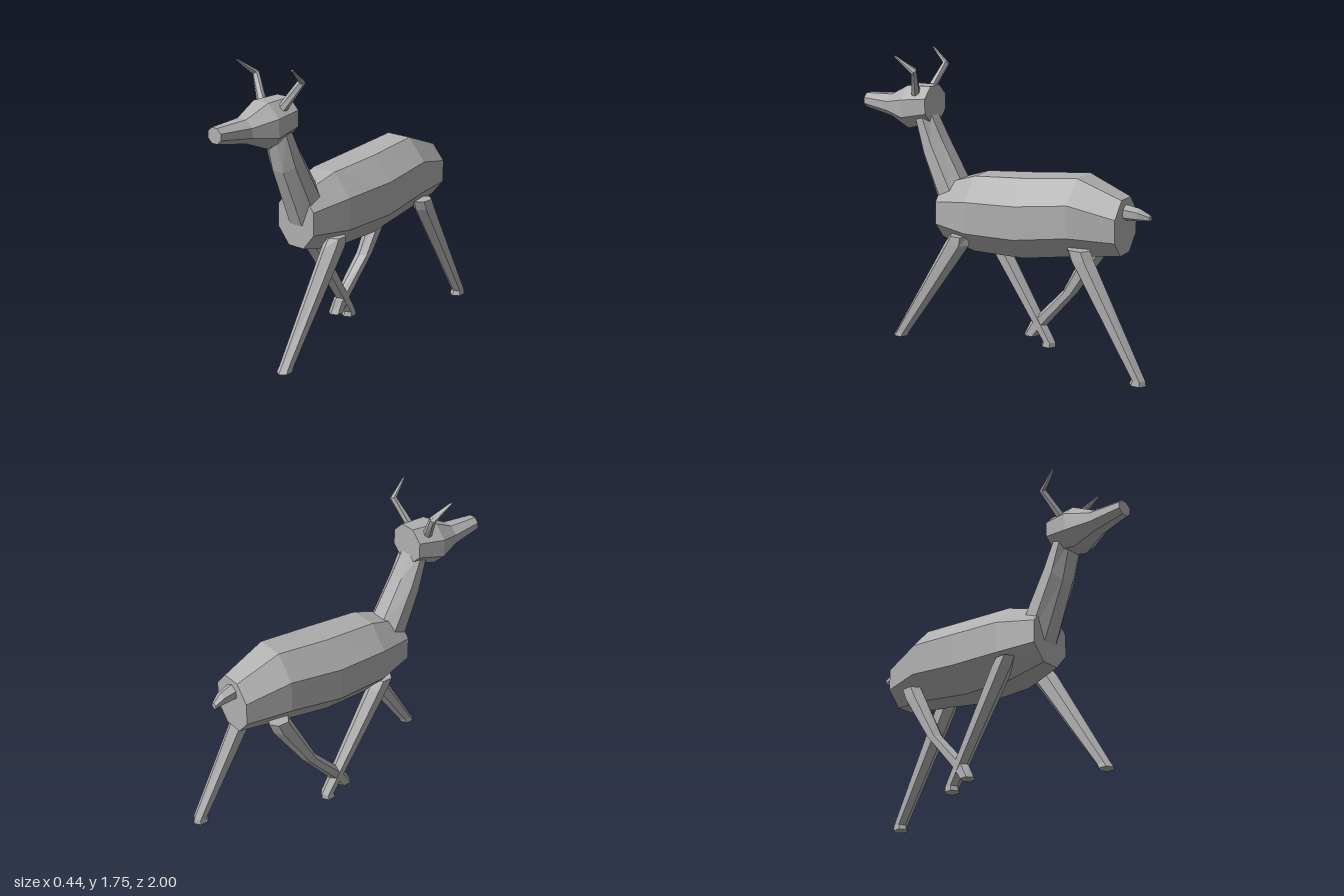
import * as THREE from 'three';

const V = (x, y, z) => new THREE.Vector3(x, y, z);

// Ring of n corners with flat sides facing +-u; u and v are the half extents
function ring(c, u, v, n) {
  const angles = Array.from({ length: n }, (_, i) => ((i + 0.5) / n) * Math.PI * 2);
  const mu = Math.max(...angles.map(Math.cos));
  const mv = Math.max(...angles.map(Math.sin));
  return angles.map((a) => c.clone()
    .addScaledVector(u, Math.cos(a) / mu)
    .addScaledVector(v, Math.sin(a) / mv));
}

// Closed skin over a row of rings, advancing along u x v
function loft(rings) {
  const pos = [];
  const tri = (...pts) => pts.forEach((p) => pos.push(p.x, p.y, p.z));
  const n = rings[0].length;
  for (let i = 0; i < rings.length - 1; i++) {
    const a = rings[i], b = rings[i + 1];
    for (let j = 0; j < n; j++) {
      const k = (j + 1) % n;
      tri(a[j], a[k], b[k]);
      tri(a[j], b[k], b[j]);
    }
  }
  const first = rings[0], last = rings[rings.length - 1];
  for (let j = 1; j < n - 1; j++) {
    tri(first[0], first[j + 1], first[j]);
    tri(last[0], last[j], last[j + 1]);
  }
  const g = new THREE.BufferGeometry();
  g.setAttribute('position', new THREE.Float32BufferAttribute(pos, 3));
  g.computeVertexNormals();
  return g;
}

export function createModel() {
  const model = new THREE.Group();
  const grey = new THREE.MeshStandardMaterial({ color: 0xb0b0b0 });
  grey.name = 'grey';
  grey.flatShading = true;

  const add = (name, rings) => {
    const mesh = new THREE.Mesh(loft(rings), grey);
    mesh.name = name;
    model.add(mesh);
  };

  // Upright sections along z: [z, centre x, half width, bottom y, top y]
  const alongZ = (rows, n, dir = 1) => rows.map(([z, x, w, y0, y1]) =>
    ring(V(x, (y0 + y1) / 2, z), V(w * dir, 0, 0), V(0, (y1 - y0) / 2, 0), n));

  add('body', alongZ([
    [-0.78, 0, 0.14, 0.705, 1.03],
    [-0.51, 0, 0.2, 0.67, 1.13],
    [-0.17, 0, 0.22, 0.61, 1.09],
    [0.17, 0, 0.2, 0.6, 1.06],
    [0.41, 0, 0.138, 0.65, 0.98],
  ], 8));

  // Head, turned slightly to its right
  add('head', alongZ([
    [0.495, -0.003, 0.113, 1.335, 1.557],
    [0.66, -0.013, 0.135, 1.29, 1.55],
    [0.8, -0.02, 0.08, 1.345, 1.48],
    [1.0, -0.025, 0.05, 1.38, 1.468],
  ], 8));

  add('tail', alongZ([
    [-0.76, 0, 0.045, 0.903, 1.0],
    [-0.86, -0.012, 0.034, 0.905, 0.98],
    [-0.92, -0.028, 0.018, 0.908, 0.945],
  ], 6, -1));

  // Neck sections: [front y, front z, back y, back z, half width]
  add('neck', [
    [0.77, 0.405, 0.93, 0.24, 0.115],
    [1.13, 0.55, 1.25, 0.425, 0.1],
    [1.36, 0.605, 1.41, 0.51, 0.09],
  ].map(([fy, fz, by, bz, w]) => ring(
    V(0, (fy + by) / 2, (fz + bz) / 2), V(w, 0, 0),
    V(0, (by - fy) / 2, (bz - fz) / 2), 8)));

  // Leg sections from hip to hoof: [y, back z, front z, half width]
  const leg = (name, x, rows) => add(name, rows.map(([y, z0, z1, w]) =>
    ring(V(x, y, (z0 + z1) / 2), V(w, 0, 0), V(0, 0, (z1 - z0) / 2), 6)));

  leg('leftFrontLeg', 0.148, [
    [0.705, 0.17, 0.295, 0.05], [0.65, 0.17, 0.335, 0.052],
    [0.03, 0.61, 0.7, 0.035], [0, 0.625, 0.72, 0.038],
  ]);
  leg('rightFrontLeg', -0.145, [
    [0.705, 0.14, 0.265, 0.05], [0.65, 0.1, 0.24, 0.052],
    [0.03, -0.26, -0.175, 0.035], [0, -0.262, -0.165, 0.038],
  ]);
  leg('leftBackLeg', 0.148, [
    [0.738, -0.635, -0.485, 0.048], [0.68, -0.66, -0.505, 0.05],
    [0.03, -0.995, -0.91, 0.035], [0, -1.0, -0.897, 0.038],
  ]);
  leg('rightBackLeg', -0.145, [
    [0.735, -0.635, -0.5, 0.048], [0.66, -0.605, -0.46, 0.05],
    [0.37, -0.405, -0.31, 0.043], [0.13, -0.2, -0.085, 0.036],
    [0.05, -0.14, -0.045, 0.038],
  ]);

  // Bent horns, mirrored: thin tapered prisms through three points
  for (const [name, s] of [['leftHorn', 1], ['rightHorn', -1]]) {
    const path = [V(s * 0.07 - 0.005, 1.5, 0.585), V(s * 0.175 - 0.005, 1.665, 0.53),
      V(s * 0.208 - 0.005, 1.75, 0.64)];
    const radii = [0.026, 0.02, 0.006];
    add(name, path.map((p, i) => {
      const d = path[Math.min(i + 1, 2)].clone().sub(path[Math.max(i - 1, 0)]).normalize();
      const u = V(1, 0, 0).addScaledVector(d, -d.x).normalize();
      const v = d.clone().cross(u);
      return ring(p, u.multiplyScalar(radii[i]), v.multiplyScalar(radii[i]), 6);
    }));
  }
  return model;
}
